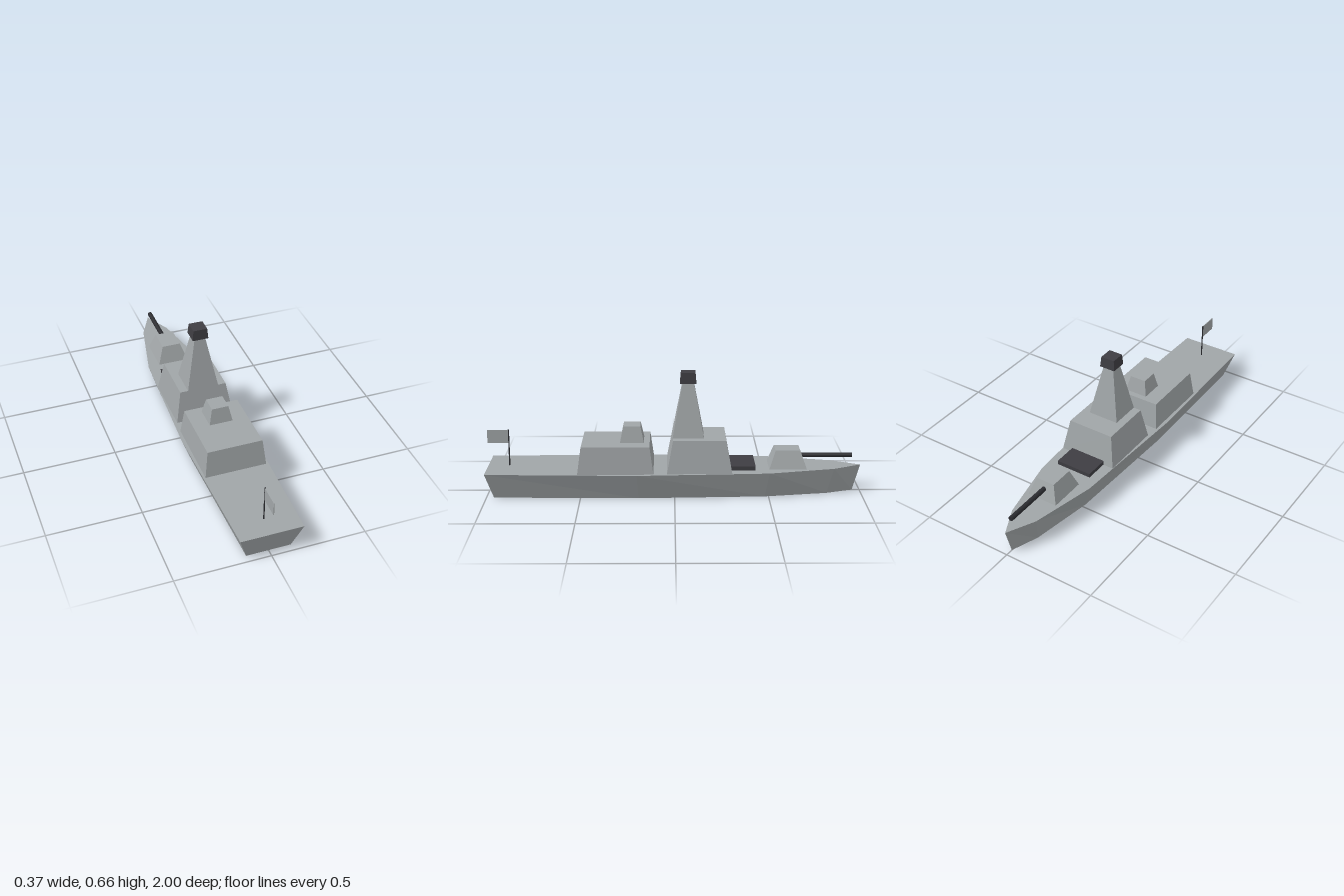
import * as THREE from 'three';

const DECK = 0.143;

// Box that stands on y0 and tapers from a bottom footprint to a top footprint
function taperedBox(name, material, y0, y1, z, bottom, top) {
  const geo = new THREE.BoxGeometry(1, 1, 1);
  const p = geo.attributes.position;
  for (let i = 0; i < p.count; i++) {
    const upper = p.getY(i) > 0;
    const [hx, hz] = upper ? top : bottom;
    p.setXYZ(i, p.getX(i) * 2 * hx, upper ? y1 : y0, p.getZ(i) * 2 * hz + z);
  }
  geo.computeVertexNormals();
  const mesh = new THREE.Mesh(geo, material);
  mesh.name = name;
  return mesh;
}

// Deck outline extruded upwards, with the keel end drawn inwards
function hull(material) {
  const side = [[0.165, 1], [0.185, 0.2], [0.15, -0.5], [0.074, -0.85]];
  const outline = [
    ...side, [0, -1],
    ...side.slice().reverse().map(([x, z]) => [-x, z]),
  ].map(([x, z]) => new THREE.Vector2(x, -z));
  const geo = new THREE.ExtrudeGeometry(new THREE.Shape(outline), { depth: DECK, bevelEnabled: false });
  geo.rotateX(-Math.PI / 2);
  const p = geo.attributes.position;
  for (let i = 0; i < p.count; i++) {
    if (p.getY(i) < DECK / 2) p.setXYZ(i, p.getX(i) * 0.71, 0, p.getZ(i) * 0.96);
  }
  geo.computeVertexNormals();
  const mesh = new THREE.Mesh(geo, material);
  mesh.name = 'hull';
  return mesh;
}

export function createModel() {
  const grey = new THREE.MeshStandardMaterial({ color: 0xa0a5a7 });
  grey.name = 'ship grey';
  const dark = new THREE.MeshStandardMaterial({ color: 0x3e3d42 });
  dark.name = 'dark grey';
  const black = new THREE.MeshStandardMaterial({ color: 0x2b2c30 });
  black.name = 'gunmetal';

  const ship = new THREE.Group();
  ship.name = 'warship';
  ship.add(hull(grey));

  // Superstructure
  ship.add(
    taperedBox('aftHouse', grey, DECK, 0.287, 0.312, [0.165, 0.2], [0.148, 0.18]),
    taperedBox('aftDirector', grey, 0.287, 0.372, 0.226, [0.063, 0.063], [0.045, 0.045]),
    taperedBox('bridge', grey, DECK, 0.316, -0.131, [0.158, 0.172], [0.128, 0.14]),
    taperedBox('mastTower', grey, 0.316, 0.602, -0.072, [0.085, 0.083], [0.029, 0.03]),
    taperedBox('mastCap', dark, 0.602, 0.659, -0.072, [0.043, 0.043], [0.038, 0.038]),
    taperedBox('foredeckHatch', dark, DECK, 0.165, -0.36, [0.1, 0.069], [0.1, 0.069]),
    taperedBox('gunTurret', grey, DECK, 0.238, -0.603, [0.085, 0.1], [0.052, 0.066]),
  );

  // Gun barrel pointing over the bow
  const barrel = new THREE.Mesh(new THREE.CylinderGeometry(0.013, 0.013, 0.31, 12), black);
  barrel.name = 'gunBarrel';
  barrel.rotation.x = Math.PI / 2;
  barrel.position.set(0, 0.198, -0.797);
  ship.add(barrel);

  // Stern flagstaff and flag
  const staff = new THREE.Mesh(new THREE.CylinderGeometry(0.0035, 0.0035, 0.2, 8), black);
  staff.name = 'flagstaff';
  staff.position.set(0, DECK + 0.1, 0.886);
  const flag = new THREE.Mesh(new THREE.BoxGeometry(0.004, 0.073, 0.112), grey);
  flag.name = 'flag';
  flag.position.set(0, 0.304, 0.944);
  ship.add(staff, flag);

  return ship;
}
